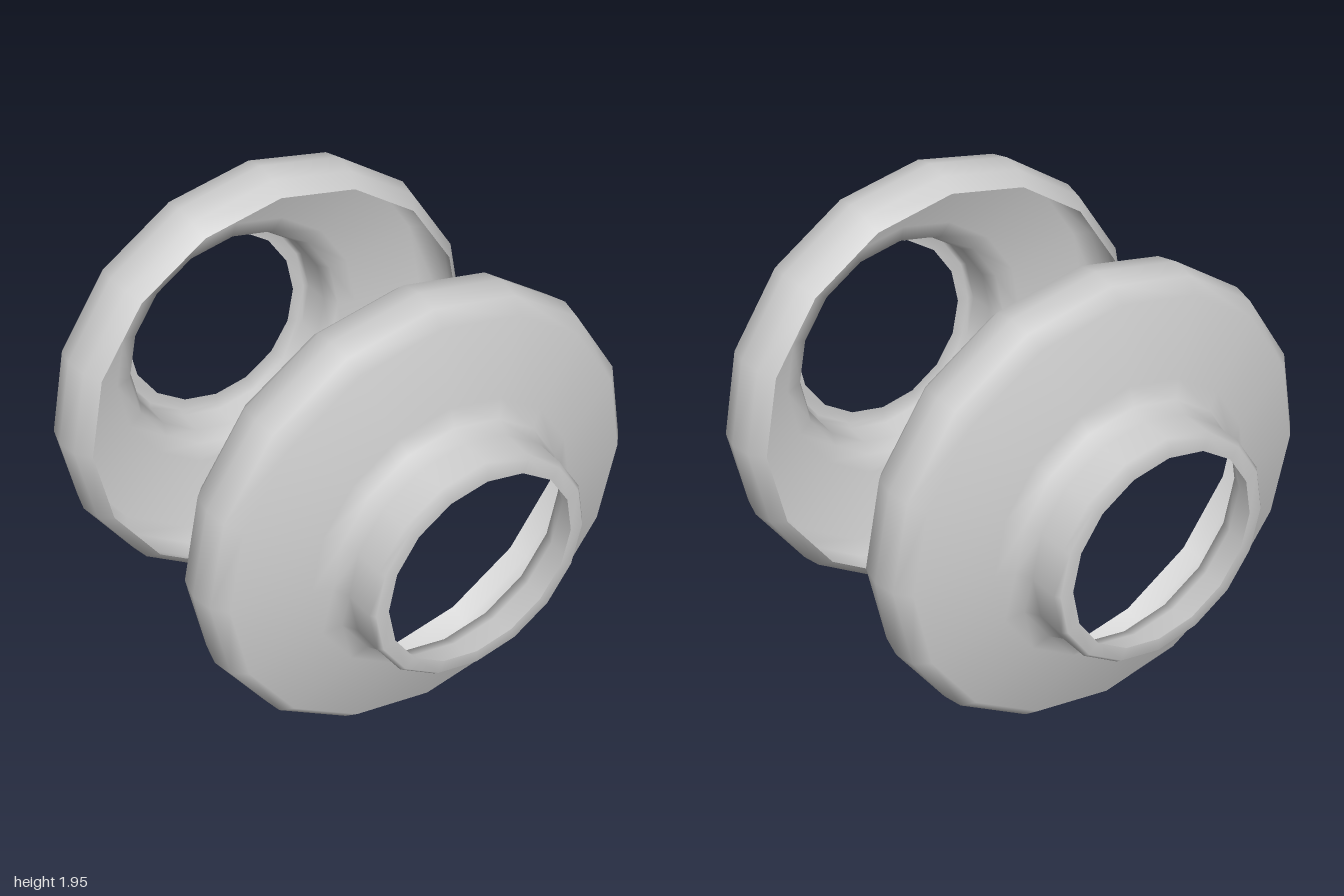
import * as THREE from 'three';

// Thin flange cross-section: [radius, distance from the middle], open rim to hub lip
const PROFILE = [
  [0.905, 0.39], [0.957, 0.45], [0.976, 0.545], [0.957, 0.637], [0.905, 0.693],
  [0.6, 0.763], [0.525, 0.79], [0.495, 0.855], [0.492, 0.98], [0.475, 1], [0.42, 1],
];
const SIDES = 16;
const AXIS_HEIGHT = 0.976;

export function createModel() {
  const model = new THREE.Group();
  model.name = 'flangePair';
  const material = new THREE.MeshStandardMaterial({ color: 0xcccccc, side: THREE.DoubleSide });
  const points = PROFILE.map(([r, d]) => new THREE.Vector2(r, d));
  const geometry = new THREE.LatheGeometry(points, SIDES);

  // Two identical hollow flanges, hubs pointing away from each other
  for (const [name, dir] of [['frontFlange', 1], ['backFlange', -1]]) {
    const flange = new THREE.Mesh(geometry, material);
    flange.name = name;
    flange.rotation.x = dir * Math.PI / 2;
    flange.position.y = AXIS_HEIGHT;
    model.add(flange);
  }
  return model;
}
